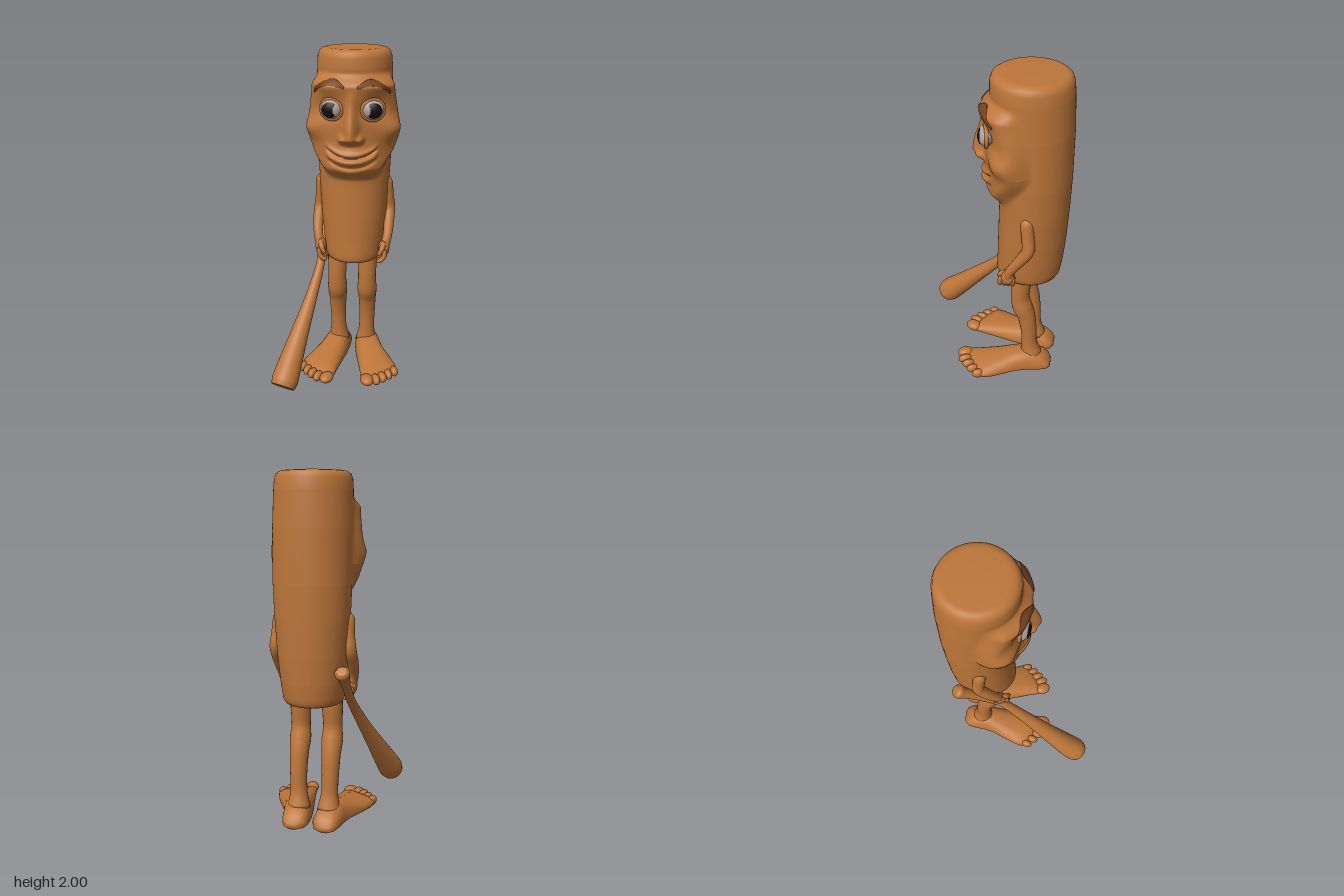
import * as THREE from 'three';

const mat = (name, color, extra = {}) => Object.assign(new THREE.MeshStandardMaterial({ color, ...extra }), { name });
const V = (x, y, z) => new THREE.Vector3(x, y, z);
const { lerp, smoothstep } = THREE.MathUtils;

// Skin between closed rings of points, with end caps; winding is made outward
function loft(rings, flatEnd = false) {
  const n = rings[0].length, pos = [], idx = [];
  rings.forEach(r => r.forEach(p => pos.push(p.x, p.y, p.z)));
  for (let i = 0; i < rings.length - 1; i++)
    for (let j = 0; j < n; j++) {
      const k = (j + 1) % n, a = i * n + j, b = i * n + k, c = a + n, d = b + n;
      idx.push(a, b, d, a, d, c);
    }
  const cap = (ring, start, flip) => {
    const mid = ring.reduce((s, p) => s.add(p), V(0, 0, 0)).divideScalar(n);
    const c = pos.length / 3;
    pos.push(mid.x, mid.y, mid.z);
    for (let j = 0; j < n; j++) {
      const a = start + j, b = start + (j + 1) % n;
      flip ? idx.push(c, b, a) : idx.push(c, a, b);
    }
  };
  cap(rings[0], 0, true);
  const last = rings[rings.length - 1];
  let start = (rings.length - 1) * n;
  if (flatEnd) {
    start = pos.length / 3;
    last.forEach(p => pos.push(p.x, p.y, p.z));
  }
  cap(last, start, false);
  let vol = 0;
  const P = i => V(pos[3 * i], pos[3 * i + 1], pos[3 * i + 2]);
  for (let i = 0; i < idx.length; i += 3) vol += P(idx[i]).dot(P(idx[i + 1]).cross(P(idx[i + 2])));
  if (vol < 0) idx.reverse();
  const g = new THREE.BufferGeometry();
  g.setAttribute('position', new THREE.Float32BufferAttribute(pos, 3));
  g.setIndex(idx);
  g.computeVertexNormals();
  return g;
}

// Round limb through points [x, y, z, radius]
function limb(pts, flatEnd = false, steps = 36, sides = 20) {
  const curve = new THREE.CatmullRomCurve3(pts.map(p => V(p[0], p[1], p[2])));
  const rad = new THREE.CatmullRomCurve3(pts.map((p, i) => V(i, p[3], 0)));
  const frames = curve.computeFrenetFrames(steps, false);
  const rings = [];
  for (let i = 0; i <= steps; i++) {
    const c = curve.getPoint(i / steps), r = rad.getPoint(i / steps).y;
    // frames follow arc length, so square them to the local tangent
    const t = curve.getTangent(i / steps);
    const n = frames.normals[i].clone().addScaledVector(t, -frames.normals[i].dot(t)).normalize();
    const b = t.clone().cross(n);
    rings.push(Array.from({ length: sides }, (_, j) => {
      const a = j / sides * Math.PI * 2;
      return c.clone().addScaledVector(n, Math.cos(a) * r).addScaledVector(b, Math.sin(a) * r);
    }));
  }
  return loft(rings, flatEnd);
}

// Trunk profile: height, half width, front z, back z
const TRUNK = [
  [0.72, 0.14, -0.07, -0.385], [0.727, 0.162, -0.05, -0.41], [0.75, 0.174, -0.043, -0.422], [0.85, 0.186, -0.047, -0.435],
  [1.0, 0.2, -0.05, -0.445], [1.2, 0.212, -0.055, -0.452], [1.4, 0.22, -0.05, -0.455], [1.7, 0.222, -0.02, -0.45],
  [1.9, 0.217, 0, -0.438], [1.955, 0.213, 0, -0.432], [1.982, 0.203, -0.01, -0.422], [1.995, 0.185, -0.03, -0.405], [2.0, 0.16, -0.055, -0.38]];

const bell = (d, s) => Math.exp(-((d / s) ** 2));

// Relief of the face, from distance u round the trunk and height y
function relief(u, y) {
  u = Math.abs(u);
  const spot = (u0, y0, su, sy) => bell(u - u0, su) * bell(y - y0, sy);
  const half = y < 1.5 ? lerp(0.09, 0.27, smoothstep(y, 1.24, 1.52)) : lerp(0.27, 0.22, smoothstep(y, 1.6, 1.85));
  let d = 0.055 * smoothstep(y, 1.24, 1.34) * (1 - smoothstep(y, 1.8, 1.88)) * (1 - smoothstep(u, half, half + 0.13));
  d += 0.037 * spot(0.23, 1.56, 0.07, 0.065);             // cheeks
  d -= 0.035 * spot(0.113, 1.68, 0.065, 0.055);           // eye sockets
  d += 0.014 * spot(0.12, 1.81, 0.1, 0.04);               // brow ridge
  d += 0.032 * spot(0, 1.4, 0.1, 0.075);                  // muzzle
  d += 0.012 * spot(0, 1.31, 0.06, 0.03);                 // chin
  const t = smoothstep(y, 1.52, 1.77);
  d += lerp(0.078, 0.008, t) * bell(u, lerp(0.034, 0.024, t)) * smoothstep(y, 1.465, 1.525) * (1 - smoothstep(y, 1.74, 1.8)); // nose
  d += 0.035 * spot(0.042, 1.515, 0.018, 0.022);          // nostrils
  const smile = y - (1.402 + 2.6 * u * u), fade = 1 - smoothstep(u, 0.1, 0.15);
  d += fade * (0.01 * bell(smile - 0.022, 0.015) + 0.012 * bell(smile + 0.025, 0.018)
    - 0.016 * bell(smile, 0.009) - 0.012 * bell(smile + 0.06, 0.014)); // lips
  return d;
}

function trunkPoint(phi, y, lift = 0) {
  let i = 0;
  while (i < TRUNK.length - 2 && y > TRUNK[i + 1][0]) i++;
  const a = TRUNK[i], b = TRUNK[i + 1], t = (y - a[0]) / (b[0] - a[0]);
  const [rx, zf, zb] = [1, 2, 3].map(k => lerp(a[k], b[k], t));
  const d = relief(phi * 0.24, y) + lift, rz = (zf - zb) / 2;
  return V(0.062 + Math.sin(phi) * (rx + d), y, (zf + zb) / 2 + Math.cos(phi) * (rz + d));
}

export function createModel() {
  const model = new THREE.Group();
  const wood = mat('wood brown', 0xbd763a);
  const dark = mat('eyebrow brown', 0x75431f);
  const white = mat('eye grey', 0xaaa09e);
  const black = mat('pupil black', 0x1c0a0a);
  const add = (name, geo, m = wood, parent = model) => {
    const mesh = new THREE.Mesh(geo, m);
    mesh.name = name;
    parent.add(mesh);
    return mesh;
  };
  const ball = (name, x, y, z, sx, sy, sz, ry = 0, m = wood, parent = model) => {
    const b = add(name, new THREE.SphereGeometry(1, 28, 20), m, parent);
    b.position.set(x, y, z);
    b.scale.set(sx, sy, sz);
    b.rotation.y = ry;
    return b;
  };

  // Log trunk with the face, finer columns at the front
  const ys = TRUNK.map(r => r[0]);
  for (let y = 0.78; y < 1.24; y += 0.04) ys.push(y);
  for (let y = 1.241; y < 1.9; y += 0.0052) ys.push(y);
  ys.sort((a, b) => a - b);
  const cols = 180;
  add('trunk', loft(ys.map(y => Array.from({ length: cols }, (_, j) => {
    const t = j / cols * 2 - 1;
    return trunkPoint(Math.PI * (0.5 * t + 0.5 * t * t * t), y);
  }))));

  for (const s of [1, -1]) {
    const side = s > 0 ? 'left' : 'right';
    const mx = u => 0.055 + s * u;

    // Eye with lid rim and pupil
    const eye = new THREE.Group();
    eye.name = side + 'Eye';
    eye.position.set(0.067 + s * 0.117, 1.68, 0.0);
    eye.rotation.y = s * 0.3;
    model.add(eye);
    ball('eyeball', 0, 0, 0, 0.062, 0.056, 0.042, 0, white, eye);
    const pupil = add('pupil', new THREE.SphereGeometry(1.03, 28, 8, 0, Math.PI * 2, 0, 0.85).rotateX(Math.PI / 2), black, eye);
    pupil.scale.set(0.062, 0.056, 0.042);
    pupil.rotation.y = -s * 0.12;
    const rim = add('eyelid', new THREE.TorusGeometry(0.063, 0.011, 10, 36), wood, eye);
    rim.scale.y = 0.92;

    // Eyebrow following the brow ridge
    const brow = [];
    for (let i = 0; i <= 18; i++) {
      const t = i / 18, phi = s * lerp(0.13, 0.86, t);
      const y = 1.795 + 0.05 * Math.sin(Math.PI * (0.06 + 0.9 * t)) - 0.028 * t;
      const w = 0.006 + 0.014 * Math.sin(Math.PI * (0.12 + 0.8 * t));
      brow.push([[-w, -0.006], [-w * 0.7, 0.006], [w * 0.7, 0.006], [w, -0.006]].map(([dy, l]) => trunkPoint(phi, y + dy, l)));
    }
    add(side + 'Eyebrow', loft(brow), dark);

    // Leg
    add(side + 'Leg', limb([[mx(0.093), 0.78, -0.21, 0.06], [mx(0.094), 0.68, -0.205, 0.06], [mx(0.095), 0.57, -0.2, 0.056],
      [mx(0.095), 0.49, -0.215, 0.062], [mx(0.095), 0.42, -0.24, 0.056], [mx(0.095), 0.3, -0.26, 0.05],
      [mx(0.092), 0.18, -0.268, 0.05], [mx(0.09), 0.09, -0.28, 0.068]]));

    // Foot, sections: inner u, inner z, outer u, outer z, height
    const foot = [[0.06, -0.41, 0.13, -0.41, 0.035], [0.025, -0.39, 0.155, -0.39, 0.07], [0.012, -0.35, 0.17, -0.35, 0.105],
      [0.015, -0.27, 0.185, -0.275, 0.14], [0.03, -0.17, 0.21, -0.2, 0.12], [0.055, -0.05, 0.255, -0.12, 0.095],
      [0.075, 0.05, 0.29, -0.05, 0.078], [0.085, 0.11, 0.305, 0.0, 0.064], [0.1, 0.15, 0.29, 0.04, 0.045]];
    add(side + 'Foot', loft(foot.map(([iu, iz, ou, oz, h]) => Array.from({ length: 28 }, (_, j) => {
      const a = j / 28 * Math.PI * 2, c = Math.cos(a), q = Math.sin(a);
      const t = 0.5 + 0.5 * Math.sign(c) * Math.abs(c) ** 0.75;
      const y = q > 0 ? 0.03 + (h - 0.03) * q : 0.03 - 0.027 * Math.abs(q) ** 0.5;
      return V(mx(lerp(iu, ou, t)), y, lerp(iz, oz, t));
    }))));
    [[0.125, 0.145, 0.04, 0.052], [0.18, 0.135, 0.026, 0.045], [0.218, 0.105, 0.025, 0.042], [0.253, 0.07, 0.024, 0.04], [0.287, 0.03, 0.025, 0.038]]
      .forEach(([u, z, r, l], i) => ball(`${side}Toe${i + 1}`, mx(u), 0.033, z, r, 0.03, l, s * 0.35));

    // Arm hugging the trunk, bent at the elbow
    const ax = u => 0.06 + s * u;
    const out = s > 0 ? 0 : -0.006;
    add(side + 'Arm', limb([[ax(0.19), 1.235, -0.235, 0.022], [ax(0.198), 1.2, -0.24, 0.036], [ax(0.208 + out), 1.11, -0.25, 0.036],
      [ax(0.218 + out), 1.03, -0.255, 0.036], [ax(0.219), 0.95, -0.21, 0.032], [ax(0.213), 0.87, -0.16, 0.028], [ax(0.198), 0.81, -0.14, 0.03]]));

    // Hand with curled fingers and thumb
    ball(side + 'Palm', ax(0.195), 0.8, -0.14, 0.034, 0.055, 0.04);
    for (let i = 0; i < 4; i++) {
      const z = -0.1 - i * 0.024;
      add(`${side}Finger${i + 1}`, limb([[ax(0.2), 0.8, z, 0.015], [ax(0.2), 0.765, z + 0.005, 0.015],
        [ax(0.178), 0.735, z + 0.008, 0.014], [ax(0.155), 0.73, z + 0.008, 0.01]], false, 12, 12));
    }
    add(side + 'Thumb', limb([[ax(0.195), 0.84, -0.125, 0.014], [ax(0.185), 0.81, -0.095, 0.016], [ax(0.165), 0.77, -0.085, 0.01]], false, 12, 12));
  }

  // Club held in the right hand, knob at the back and flat thick end in front
  add('club', limb([[-0.138, 0.945, -0.4, 0.028], [-0.138, 0.93, -0.385, 0.042], [-0.138, 0.9, -0.35, 0.034], [-0.135, 0.83, -0.27, 0.026],
    [-0.135, 0.7, -0.13, 0.026], [-0.175, 0.53, 0.015, 0.036], [-0.225, 0.36, 0.16, 0.053], [-0.272, 0.2, 0.3, 0.072],
    [-0.29, 0.135, 0.36, 0.078], [-0.299, 0.106, 0.385, 0.07]], true, 60, 28));

  return model;
}
